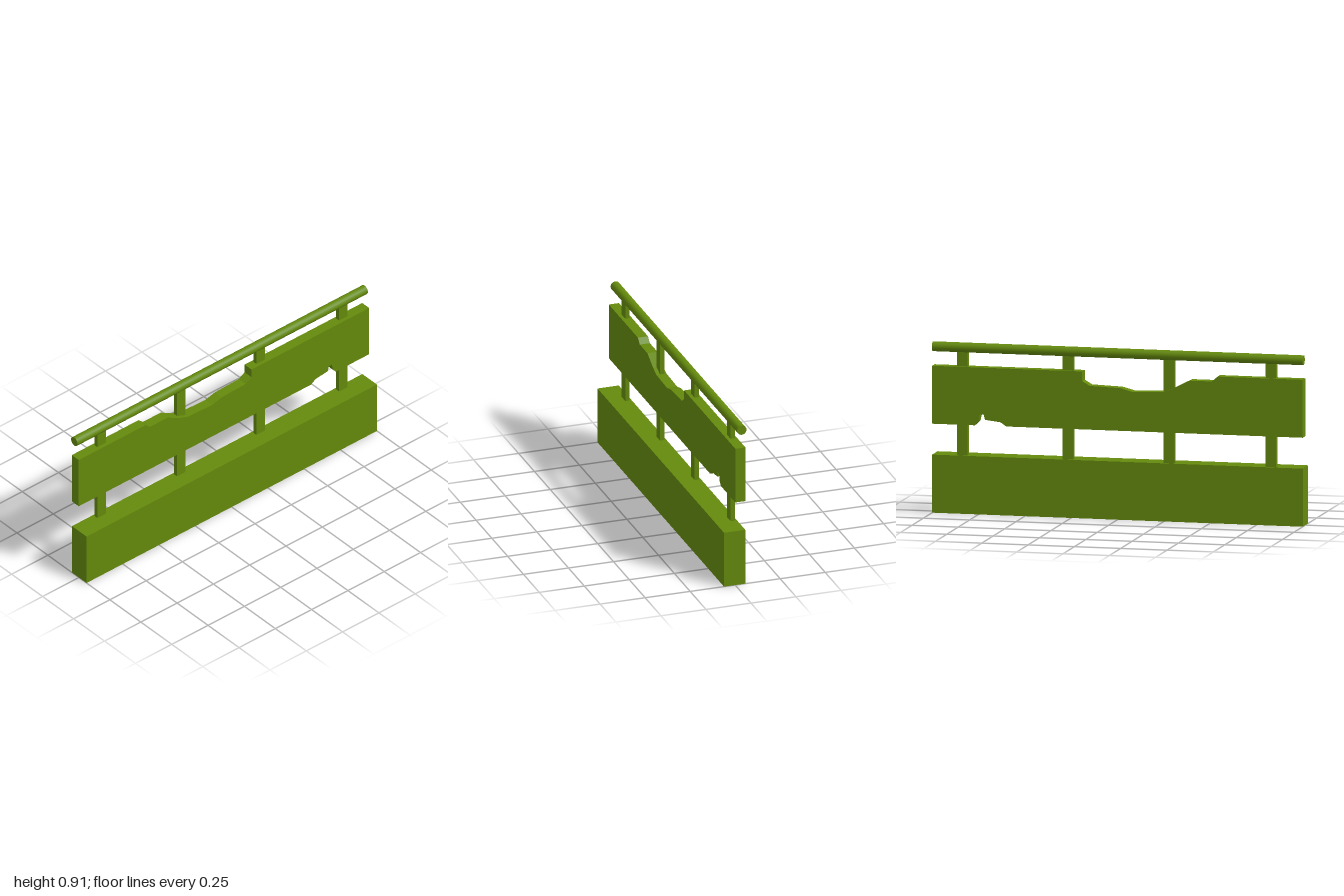
import * as THREE from 'three';

export function createModel() {
  const group = new THREE.Group();
  const material = new THREE.MeshStandardMaterial({ color: 0x648a0c });

  function add(name, geometry, x, y, z) {
    const mesh = new THREE.Mesh(geometry, material);
    mesh.name = name;
    mesh.position.set(x, y, z);
    group.add(mesh);
    return mesh;
  }

  // Solid base block
  add('base', new THREE.BoxGeometry(0.118, 0.308, 2), 0.003, 0.154, 0);

  // Broken board: outline in (z, y), extruded across the thickness
  const outline = [
    [1, 0.472], [1, 0.779],
    // worn upper edge
    [0.54, 0.779], [0.51, 0.752], [0.39, 0.752], [0.3, 0.706], [0.25, 0.687],
    [0.08, 0.681], [0.015, 0.698], [-0.15, 0.704], [-0.19, 0.728], [-0.19, 0.779],
    [-1, 0.779], [-1, 0.472],
    // chip in the lower edge
    [-0.77, 0.472], [-0.752, 0.493], [-0.743, 0.533], [-0.722, 0.53],
    [-0.715, 0.503], [-0.63, 0.493], [-0.6, 0.472],
  ].map(([z, y]) => new THREE.Vector2(z, y));
  const board = new THREE.ExtrudeGeometry(new THREE.Shape(outline), {
    depth: 0.056, bevelEnabled: false,
  });
  board.rotateY(-Math.PI / 2);
  add('brokenBoard', board, -0.001, 0, 0);

  // Upright posts from the base to the rail
  for (const z of [0.825, 0.276, -0.27, -0.84]) {
    add('post', new THREE.BoxGeometry(0.024, 0.565, 0.058), -0.033, 0.5825, z);
  }

  // Round top rail
  const rail = new THREE.CylinderGeometry(0.026, 0.026, 2, 24);
  rail.rotateX(Math.PI / 2);
  add('rail', rail, -0.037, 0.88, 0);

  return group;
}
